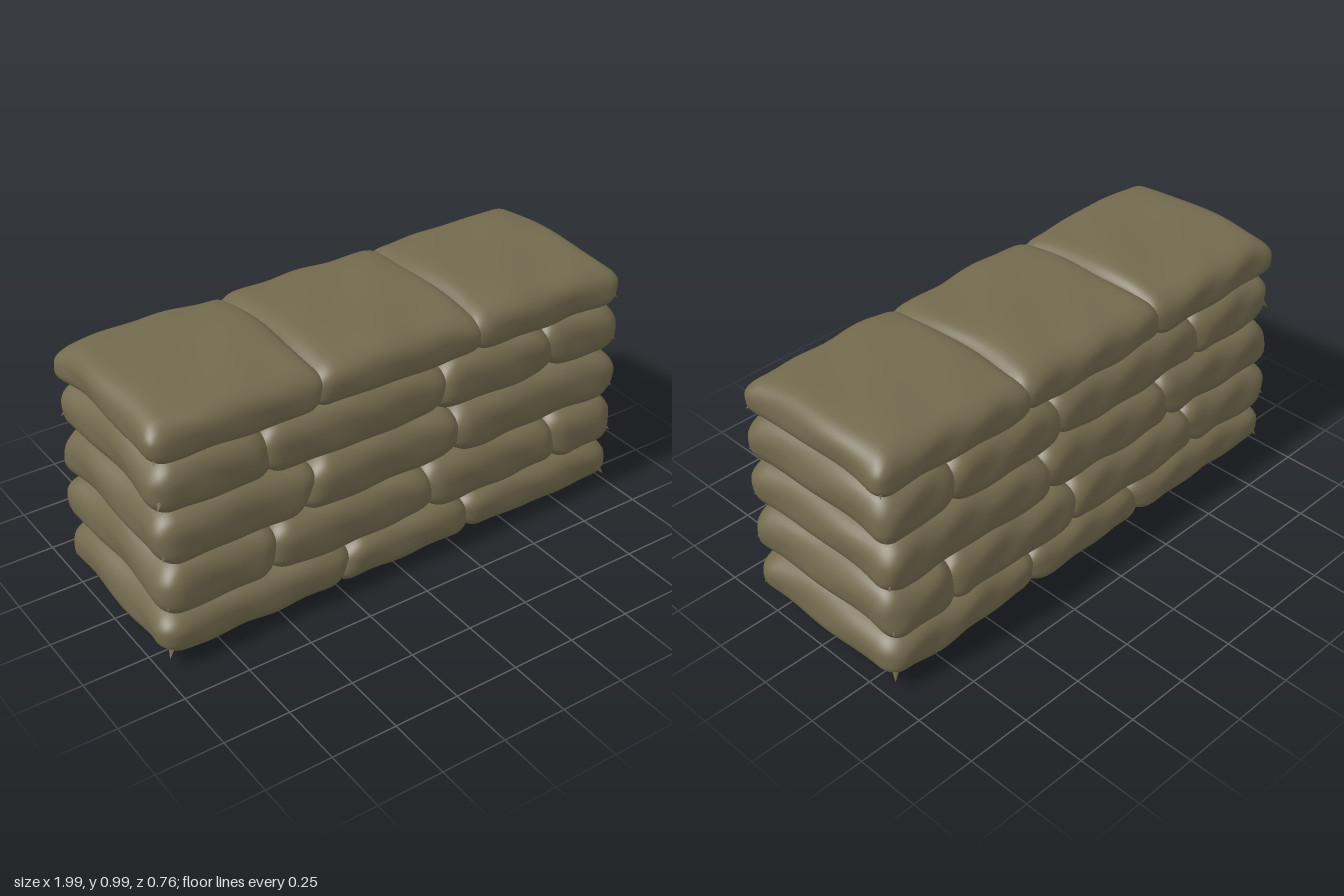
import * as THREE from 'three';
import { mergeVertices } from 'three/addons/utils/BufferGeometryUtils.js';

const burlap = new THREE.MeshStandardMaterial({ color: 0x736a4e });
burlap.name = 'burlap';

// Courses from the ground up: bottom, top, half depth, rim droop of the bottom and top faces,
// seam positions and seam slant
const courses = [
  { y0: 0.01, y1: 0.239, d: 0.362, droop: [-0.028, 0.02], seams: [-0.985, -0.245, 0.3, 0.985], slant: [0, 0.025, -0.01, 0] },
  { y0: 0.222, y1: 0.44, d: 0.369, droop: [0.02, 0.02], seams: [-0.98, -0.54, 0.11, 0.69, 0.985], slant: [0, 0.02, -0.01, -0.01, 0] },
  { y0: 0.42, y1: 0.64, d: 0.362, droop: [0.02, 0.02], seams: [-0.98, -0.39, 0.23, 0.98], slant: [0, 0.03, 0.01, 0] },
  { y0: 0.622, y1: 0.832, d: 0.354, droop: [0.02, 0.02], seams: [-0.975, -0.55, 0.17, 0.66, 0.98], slant: [0, 0, 0.02, -0.01, 0] },
  { y0: 0.814, y1: 0.992, d: 0.347, droop: [0.018, 0.034], seams: [-0.98, -0.335, 0.32, 0.975], slant: [0, 0.012, 0.005, 0] },
];

function seeded(seed) {
  let s = seed * 7919 + 17;
  return () => (s = (s * 16807) % 2147483647) / 2147483647;
}

// Packed bag: rounded box with drooping rims, pulled-out corners and soft creases
function bagGeometry(x0, x1, s0, s1, course, seed) {
  const rnd = seeded(seed);
  rnd();
  const ph = Array.from({ length: 6 }, () => rnd() * Math.PI * 2);
  const half = [(x1 - x0) / 2, (course.y1 - course.y0) / 2, course.d];
  const cx = (x0 + x1) / 2, cy = (course.y0 + course.y1) / 2;
  const radius = half[1] * 0.74;
  let g = new THREE.BoxGeometry(2, 2, 2, 28, 12, 28);
  g.deleteAttribute('uv');
  g.deleteAttribute('normal');
  g = mergeVertices(g);
  const p = g.attributes.position;
  const v = new THREE.Vector3(), inner = new THREE.Vector3();
  const spread = t => 0.5 * t + 0.5 * Math.sin(t * Math.PI / 2);
  for (let i = 0; i < p.count; i++) {
    v.fromBufferAttribute(p, i);
    v.set(spread(v.x) * half[0], spread(v.y) * half[1], spread(v.z) * half[2]);
    inner.set(...v.toArray().map((c, k) => THREE.MathUtils.clamp(c, radius - half[k], half[k] - radius)));
    v.sub(inner).setLength(radius).add(inner);
    const nx = v.x / half[0], ny = v.y / half[1], nz = v.z / half[2];

    // Thinner towards the ends, drooping over the front and back rims
    v.y *= 1 - 0.22 * nx ** 6;
    v.y -= THREE.MathUtils.lerp(course.droop[0], course.droop[1], (ny + 1) / 2) * nz * nz;
    // Corners drawn outwards around mid height
    const corner = Math.abs(nx * nz) ** 4 * (1 - 0.6 * ny * ny);
    v.x += Math.sign(nx) * 0.022 * corner;
    v.z += Math.sign(nz) * 0.014 * corner;
    // Uneven filling and creases
    const wx = v.x + cx;
    v.y += 0.005 * Math.sin(wx * 9 + ph[0]) * Math.cos(v.z * 8 + ph[1])
         + 0.002 * Math.sin(wx * 21 + v.z * 13 + ph[2]);
    v.z += nz * (0.005 * Math.sin(wx * 11 + ph[3]) + 0.004 * Math.sin(wx * 25 + v.y * 30 + ph[4]));
    v.x += nx * 0.005 * Math.sin(v.z * 14 + v.y * 20 + ph[5]);
    // Slanted joints between neighbours
    v.x += ny * THREE.MathUtils.lerp(s0, s1, (nx + 1) / 2);
    p.setXYZ(i, v.x + cx, v.y + cy, v.z);
  }
  g.computeVertexNormals();
  return g;
}

// Small gathered cloth tip on an exposed corner
function cornerTip(x, y, z, seed) {
  const rnd = seeded(seed);
  rnd();
  const tip = new THREE.Mesh(new THREE.ConeGeometry(0.02, 0.06, 6), burlap);
  const dir = new THREE.Vector3(Math.sign(x) * 0.5, -0.5 - rnd() * 0.6, Math.sign(z) * 0.5).normalize();
  tip.quaternion.setFromUnitVectors(new THREE.Vector3(0, 1, 0), dir);
  tip.position.set(x, y, z);
  tip.name = 'clothCornerTip';
  return tip;
}

export function createModel() {
  const model = new THREE.Group();
  model.name = 'sandbagWall';
  courses.forEach((course, r) => {
    const row = new THREE.Group();
    row.name = `sandbagCourse${r + 1}`;
    const last = course.seams.length - 1;
    for (let i = 0; i < last; i++) {
      // Neighbouring bags press into each other
      const x0 = course.seams[i] - (i > 0 ? 0.015 : 0);
      const x1 = course.seams[i + 1] + (i + 1 < last ? 0.015 : 0);
      const bag = new THREE.Mesh(
        bagGeometry(x0, x1, course.slant[i], course.slant[i + 1], course, r * 10 + i + 1), burlap);
      bag.name = 'sandbag';
      row.add(bag);
    }
    for (const sx of [-1, 1]) for (const sz of [-1, 1]) {
      const y = (course.y0 + course.y1) / 2 - 0.045;
      row.add(cornerTip(sx * 0.957, y, sz * (course.d - 0.022), r * 4 + sx + sz * 2 + 50));
    }
    model.add(row);
  });
  return model;
}
